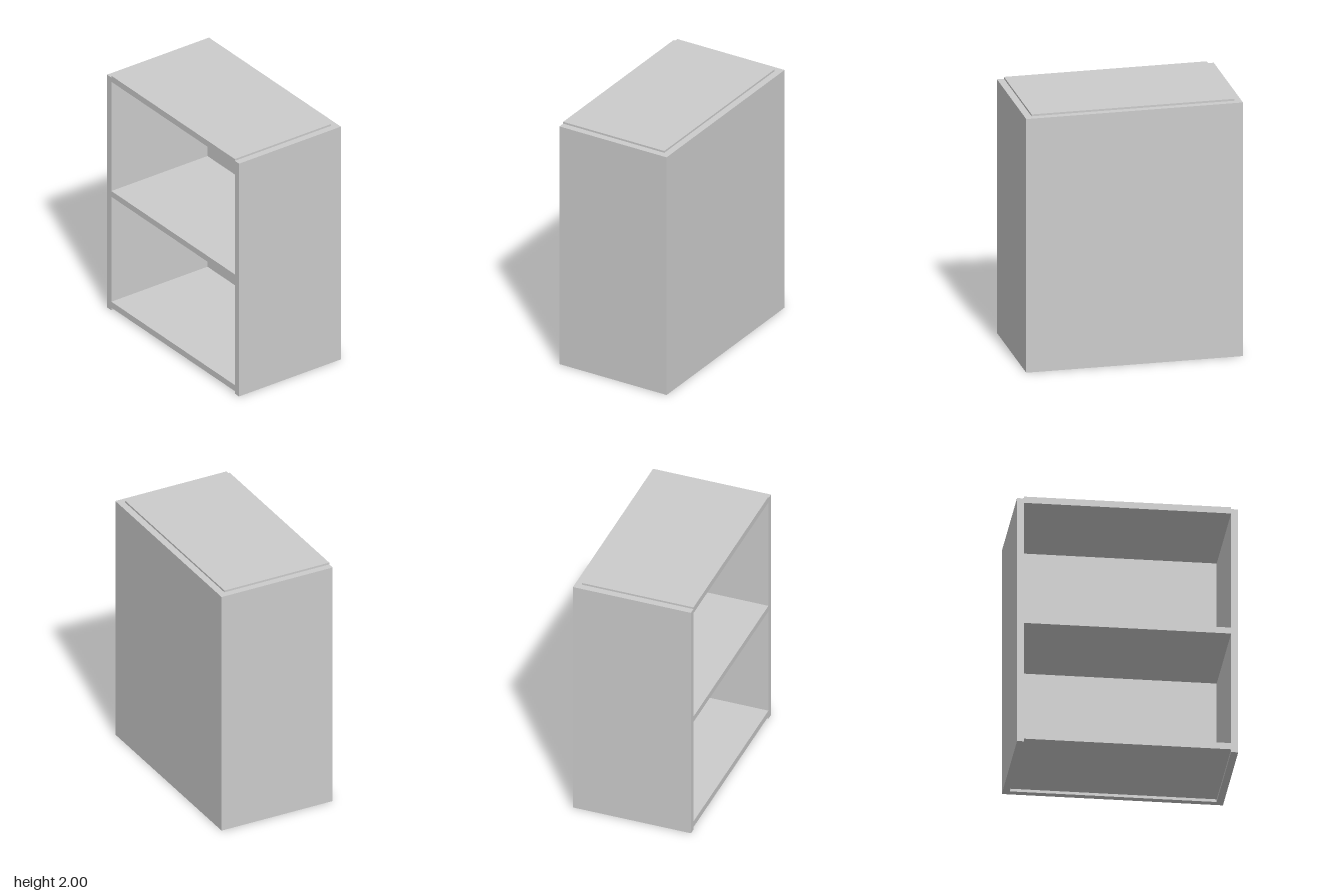
import * as THREE from 'three';

export function createModel() {
  const group = new THREE.Group();
  const material = new THREE.MeshStandardMaterial({ color: 0xcccccc, flatShading: true });
  const W = 0.825, D = 0.468, H = 1.985; // half width, half depth, wall height
  const innerX = 0.772, innerBack = -0.415;

  // Side walls and back panel: one U-shaped plan raised to full height
  const plan = new THREE.Shape([
    [-W, -D], [-innerX, -D], [-innerX, -innerBack], [innerX, -innerBack],
    [innerX, -D], [W, -D], [W, D], [-W, D],
  ].map(([x, y]) => new THREE.Vector2(x, y)));
  const walls = new THREE.Mesh(
    new THREE.ExtrudeGeometry(plan, { depth: H, bevelEnabled: false }).rotateX(-Math.PI / 2),
    material);
  walls.name = 'sidesAndBack';
  group.add(walls);

  // Boards between the walls: the top stands proud, the bottom is raised off the ground
  const boards = { bottomBoard: [0.022, 0.073], middleShelf: [0.968, 1.017], topBoard: [1.949, 2] };
  for (const [name, [y0, y1]] of Object.entries(boards)) {
    const board = new THREE.Mesh(new THREE.BoxGeometry(2 * innerX, y1 - y0, D - innerBack), material);
    board.position.set(0, (y0 + y1) / 2, (D + innerBack) / 2);
    board.name = name;
    group.add(board);
  }
  return group;
}
